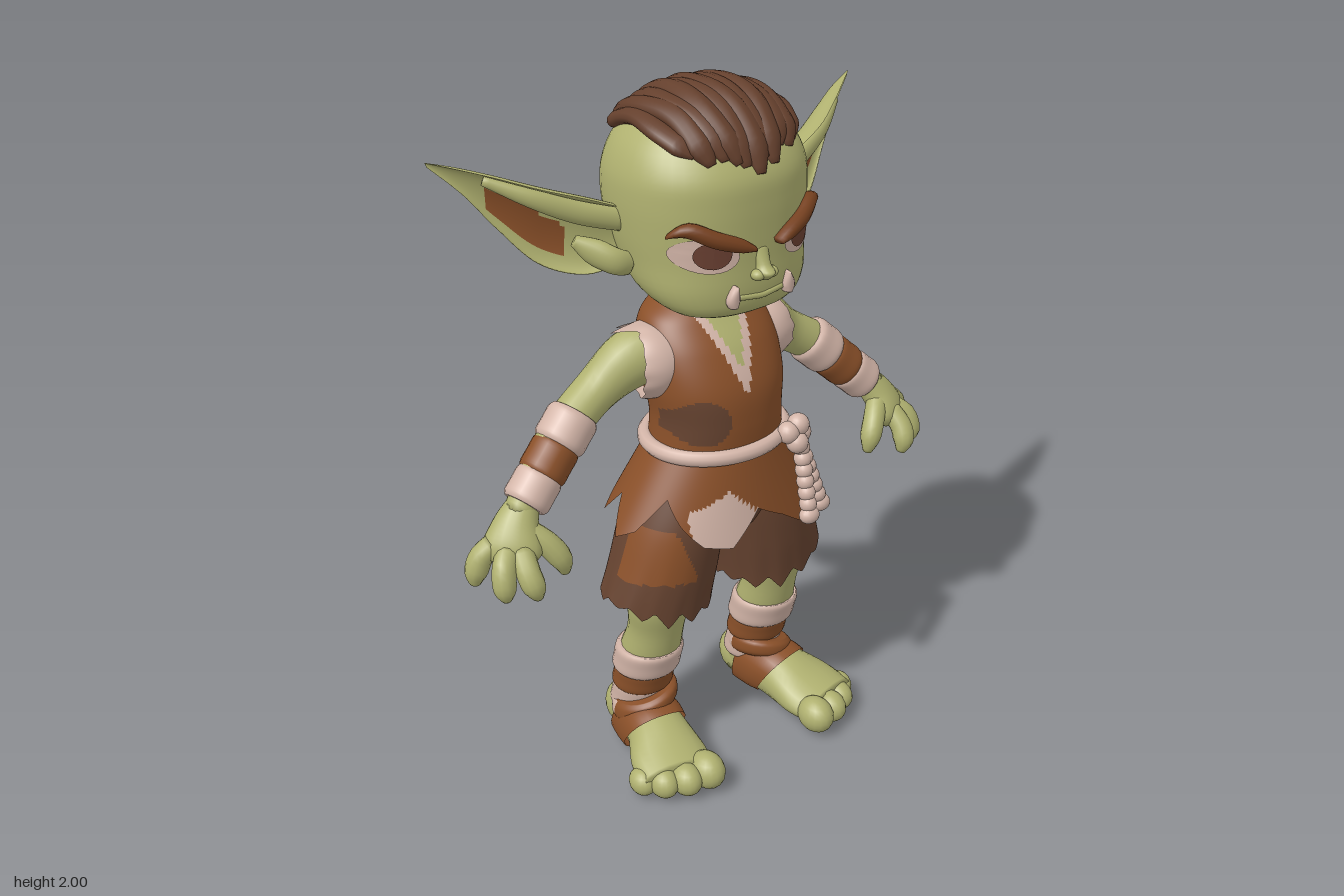
import * as THREE from 'three';

const V3 = (x, y, z) => new THREE.Vector3(x, y, z);
const mat = (name, color, side = THREE.FrontSide) => Object.assign(new THREE.MeshStandardMaterial({ color, side }), { name });
const skin = mat('skin', 0xb0b170);
const leather = mat('leather brown', 0x8a5029, THREE.DoubleSide);
const cloth = mat('dark cloth', 0x664330, THREE.DoubleSide);
const hairMat = mat('hair', 0x65402d);
const linen = mat('linen', 0xd3b5a8, THREE.DoubleSide);
const browMat = mat('brow', 0x75401f);
const iris = mat('iris', 0x6a4032);

// Smoothly resample rows of numbers
function smooth(rows, steps) {
  const last = rows.length - 1;
  return Array.from({ length: steps + 1 }, (_, i) => {
    const t = (i / steps) * last, k = Math.min(Math.floor(t), last - 1), f = t - k;
    const p = rows[Math.max(k - 1, 0)], a = rows[k], b = rows[k + 1], q = rows[Math.min(k + 2, last)];
    return a.map((v, c) => v + 0.5 * f * (b[c] - p[c] + f * (2 * p[c] - 5 * v + 4 * b[c] - q[c] + f * (3 * (v - b[c]) + q[c] - p[c]))));
  });
}

// Surface through closed rings; paint(centre, u, angle) picks the material slot
function surface(rings, { open = false, paint } = {}) {
  const m = rings[0].length, n = rings.length, pos = [], slots = [];
  rings.forEach(r => r.forEach(p => pos.push(p.x, p.y, p.z)));
  const put = (slot, ...ids) => (slots[slot] ??= []).push(...ids);
  for (let i = 0; i < n - 1; i++) for (let j = 0; j < m; j++) {
    const k = (j + 1) % m, a = i * m + j, b = a + m, c = i * m + k, d = c + m;
    const mid = rings[i][j].clone().add(rings[i + 1][k]).multiplyScalar(0.5);
    put(paint ? paint(mid, (i + 0.5) / (n - 1), ((j + 0.5) / m) * Math.PI * 2) : 0, a, b, c, c, b, d);
  }
  if (!open) [0, n - 1].forEach(i => {
    const centre = rings[i].reduce((s, p) => s.add(p), V3(0, 0, 0)).divideScalar(m), id = pos.length / 3;
    pos.push(centre.x, centre.y, centre.z);
    for (let j = 0; j < m; j++) {
      const a = i * m + j, b = i * m + (j + 1) % m;
      i ? put(0, id, b, a) : put(0, id, a, b);
    }
  });
  const g = new THREE.BufferGeometry(), index = [];
  g.setAttribute('position', new THREE.Float32BufferAttribute(pos, 3));
  slots.forEach((s, i) => { g.addGroup(index.length, s.length, i); for (const v of s) index.push(v); });
  if (!paint) g.clearGroups();
  g.setIndex(index);
  g.computeVertexNormals();
  return g;
}

// Loft of rows [x, y, z, halfWidth, halfDepth]; flat keeps the rings horizontal
function loft(rows, { sides = 20, steps = 16, flat = false, up = [1, 0, 0], power = 2, warp, ...rest } = {}) {
  const r = smooth(rows, steps), e = v => Math.sign(v) * Math.abs(v) ** (2 / power);
  return surface(r.map((row, i) => {
    const a = r[Math.max(i - 1, 0)], b = r[Math.min(i + 1, steps)];
    const T = flat ? V3(0, Math.sign(b[1] - a[1]), 0) : V3(b[0] - a[0], b[1] - a[1], b[2] - a[2]).normalize();
    const U = V3(...up).addScaledVector(T, -V3(...up).dot(T)).normalize(), W = U.clone().cross(T);
    return Array.from({ length: sides }, (_, j) => {
      const th = (j / sides) * Math.PI * 2;
      const p = V3(row[0], row[1], row[2]).addScaledVector(U, row[3] * e(Math.cos(th))).addScaledVector(W, row[4] * e(Math.sin(th)));
      if (warp) warp(p, i / steps, th);
      return p;
    });
  }), rest);
}

const ball = (x, y, z, a, b = a, c = a) => new THREE.SphereGeometry(1, 18, 12).scale(a, b, c).translate(x, y, z);
const tooth = (th, k) => Math.abs((((th * k) / (Math.PI * 2)) % 1) * 2 - 1) * (0.65 + 0.35 * Math.sin(th * 3 + 1));
const digit = (pts, r) => loft(pts.map((p, i) => [...p, r * [1, 1.05, 1, 0.45][i], r * [1, 1.05, 1, 0.45][i]]), { sides: 12, steps: 10, up: [1, 0, 0.3] });

export function createModel() {
  const root = new THREE.Group();
  root.name = 'goblin';
  const left = new THREE.Group();
  left.name = 'leftParts';
  const add = (parent, name, geo, m) => {
    const mesh = new THREE.Mesh(geo, m);
    mesh.name = name;
    parent.add(mesh);
    return mesh;
  };

  // Head and neck
  const head = add(root, 'head', loft([
    [0, 1.418, 0.07, 0.1, 0.06], [0, 1.445, 0.065, 0.185, 0.12], [0, 1.5, 0.02, 0.235, 0.18], [0, 1.58, -0.02, 0.252, 0.22],
    [0, 1.65, -0.037, 0.262, 0.238], [0, 1.73, -0.045, 0.267, 0.246], [0, 1.8, -0.045, 0.26, 0.238], [0, 1.87, -0.05, 0.228, 0.2],
    [0, 1.93, -0.05, 0.165, 0.145], [0, 1.962, -0.05, 0.09, 0.08], [0, 1.972, -0.05, 0.02, 0.02]],
    { flat: true, sides: 48, steps: 44, power: 2.25 }), skin);
  add(root, 'neck', loft([[0, 1.2, -0.05, 0.09, 0.08], [0, 1.36, -0.07, 0.075, 0.075], [0, 1.52, -0.06, 0.075, 0.075]], { flat: true }), skin);

  const ray = new THREE.Raycaster();
  const hit = (from, dir) => (ray.set(from, dir), ray.intersectObject(head)[0]?.point);
  const faceZ = (x, y) => hit(V3(x, y, 2), V3(0, 0, -1))?.z ?? 0.1;
  // Thin disc that follows the face
  const decal = (cx, cy, a, b, tilt, off) => {
    const g = new THREE.RingGeometry(0.001, 1, 28, 4).scale(a, b, 1).rotateZ(tilt).translate(cx, cy, 0), p = g.attributes.position;
    for (let i = 0; i < p.count; i++) p.setZ(i, faceZ(p.getX(i), p.getY(i)) + off);
    g.computeVertexNormals();
    return g;
  };

  // Face
  add(left, 'eye', decal(0.15, 1.617, 0.078, 0.046, 0.15, 0.005), linen);
  add(left, 'iris', decal(0.14, 1.62, 0.045, 0.037, 0, 0.009), iris);
  add(left, 'eyebrow', loft([[0.04, 1.628, 0.008], [0.08, 1.642, 0.019], [0.14, 1.664, 0.022], [0.195, 1.69, 0.019], [0.228, 1.672, 0.005]]
    .map(([x, y, r]) => [x, y, faceZ(x, y) + 0.012, r, 0.022]), { sides: 12, up: [0, 1, 0] }), browMat);
  add(left, 'tusk', loft([[0.088, 1.475, 0.014], [0.09, 1.492, 0.02], [0.088, 1.512, 0.014], [0.085, 1.532, 0.003]]
    .map(([x, y, r]) => [x, y, faceZ(x, y) + 0.006, r, 0.016]), { sides: 12 }), linen);
  add(left, 'nostril', ball(0.022, 1.55, 0.208, 0.018, 0.015, 0.02), skin);
  add(root, 'nose', loft([[0, 1.535, 0.2, 0.012, 0.022], [0, 1.555, 0.208, 0.024, 0.034], [0, 1.575, 0.2, 0.02, 0.022], [0, 1.62, 0.185, 0.025, 0.015]], { flat: true }), skin);
  add(root, 'lip', loft([-0.07, -0.035, 0, 0.035, 0.07].map(x => [x, 1.487 + Math.abs(x) * 0.1, faceZ(x, 1.49), 0.008, 0.006]), { sides: 10, up: [0, 1, 0] }), skin);

  // Ears: cupped leaf between an upper and a lower edge, then the bulge at the back
  const earRows = smooth([
    [0.22, 1.69, -0.05, 0.22, 1.56, -0.06, 0.085], [0.34, 1.74, -0.065, 0.34, 1.535, -0.085, 0.09],
    [0.45, 1.778, -0.1, 0.45, 1.572, -0.14, 0.08], [0.55, 1.814, -0.16, 0.535, 1.67, -0.19, 0.055],
    [0.62, 1.836, -0.21, 0.605, 1.765, -0.225, 0.032], [0.684, 1.854, -0.257, 0.68, 1.843, -0.257, 0.006]], 44);
  add(left, 'ear', surface(earRows.map(r => {
    const a = V3(r[0], r[1], r[2]), b = V3(r[3], r[4], r[5]), mid = a.clone().add(b).multiplyScalar(0.5);
    const half = a.sub(b).multiplyScalar(0.5), back = half.clone().cross(V3(0.85, 0.3, -0.4)).normalize();
    return Array.from({ length: 56 }, (_, j) => {
      const th = (j / 56) * Math.PI * 2, s = Math.sin(th);
      return mid.clone().addScaledVector(half, Math.cos(th)).addScaledVector(back, r[6] * (s > 0 ? s : -0.5 * s));
    });
  }), { paint: (p, u, th) => (Math.sin(th) < 0 && Math.cos(th) > -0.72 && p.x > 0.375 && p.x < 0.553 && p.y < 1.665 + 0.66 * (p.x - 0.38) ? 1 : 0) }), [skin, leather]);
  // Folds inside the ear
  add(left, 'earFold', loft([[0.25, 1.56, -0.03, 0.03, 0.02], [0.29, 1.575, -0.035, 0.035, 0.025], [0.33, 1.6, -0.07, 0.035, 0.025], [0.37, 1.63, -0.1, 0.015, 0.015]], { up: [0, 1, 0] }), skin);
  add(left, 'earRidge', loft([[0.25, 1.67, -0.06, 0.03, 0.02], [0.36, 1.705, -0.09, 0.03, 0.022], [0.47, 1.755, -0.125, 0.024, 0.018], [0.57, 1.805, -0.185, 0.012, 0.01]], { up: [0, 1, 0] }), skin);

  // Hair: locks combed from front to back over the skull, uneven at the ends
  for (let k = -5; k <= 5; k++) {
    const odd = k & 1, from = 20 + Math.abs(k) * 3 + odd * 4 + 2 * Math.sin(k * 2.3), to = 162 - Math.abs(k) * 4 - odd * 5, rows = [];
    for (let i = 0; i <= 10; i++) {
      const phi = THREE.MathUtils.degToRad(from + ((to - from) * i) / 10), dir = V3(0, Math.sin(phi), Math.cos(phi));
      const x = k * 0.037 * (1 - 0.3 * Math.cos(phi) ** 2) + 0.006 * Math.sin(i * 0.9 + k * 2);
      const p = hit(V3(x, 1.72, -0.045).addScaledVector(dir, 1), dir.clone().negate());
      const taper = i === 0 ? 0.35 : i === 10 ? 0.2 : 1;
      if (p) rows.push([p.x, p.y, p.z, 0.036 * taper, (0.028 - 0.005 * odd) * taper]);
    }
    add(root, 'hairLock', loft(rows, { sides: 12, steps: 30 }), hairMat);
  }

  // Tunic with open collar and a round patch
  add(root, 'tunic', loft([
    [0, 0.98, 0, 0.196, 0.16], [0, 1.1, 0.005, 0.187, 0.162], [0, 1.2, -0.012, 0.2, 0.17], [0, 1.3, -0.042, 0.2, 0.155],
    [0, 1.37, -0.065, 0.175, 0.125], [0, 1.41, -0.075, 0.125, 0.1], [0, 1.435, -0.08, 0.085, 0.08]],
    { flat: true, sides: 144, steps: 90, power: 2.2, paint: p => {
      const v = Math.abs(p.x + 0.01) - (p.y - 1.25) * 0.38;
      if (p.z > -0.05 && p.y > 1.19 && v < 0.026) return v < 0 ? 1 : 2;
      return p.z > 0 && Math.hypot(p.x + 0.13, p.y - 1.12) < 0.066 ? 3 : 0;
    } }), [leather, skin, linen, cloth]);

  // Torn skirt of the tunic
  const hem = [0.8, 0.89, 0.8, 0.88, 0.73, 0.8, 0.85, 0.76, 0.78, 0.84, 0.91, 0.82, 0.79, 0.88, 0.8, 0.87, 0.74, 0.85, 0.81, 0.87, 0.74, 0.86, 0.78, 0.88];
  add(root, 'skirt', surface(Array.from({ length: 25 }, (_, i) => Array.from({ length: 144 }, (_, j) => {
    const th = (j / 144) * Math.PI * 2, k = Math.floor(j / 6), f = (j % 6) / 6;
    const d = (1.02 - (hem[k] * (1 - f) + hem[(k + 1) % 24] * f)) * (1 - i / 24), s = Math.sin(th);
    return V3(Math.cos(th) * (0.2 + 0.62 * d), 1.02 - d, s * (s > 0 ? 0.168 + 0.18 * d : 0.162 + 0.44 * d));
  })), { open: true, paint: p => {
    const x = p.x + 0.085;
    if (p.z > 0) return p.x > -0.2 && p.x < 0.03 && p.y < 0.92 - 0.9 * Math.max(0, x) + 0.4 * Math.min(0, x) ? 1 : 0;
    return Math.abs(p.x - 0.03) < 0.06 && p.y < 0.88 - Math.abs(p.x - 0.03) ? 1 : 0;
  } }), [leather, linen]);

  // Shorts
  add(root, 'shortsSeat', loft([[0, 0.7, -0.01, 0.06, 0.08], [0, 0.75, -0.005, 0.16, 0.125], [0, 0.86, 0, 0.245, 0.155], [0, 1, 0, 0.19, 0.15]], { flat: true, sides: 36 }), cloth);
  for (const s of [1, -1]) add(root, 'shortsLeg', loft([
    [s * 0.12, 0.92, 0, 0.115, 0.145], [s * 0.148, 0.8, 0, 0.143, 0.157], [s * 0.178, 0.68, -0.003, 0.155, 0.155], [s * 0.203, 0.59, -0.01, 0.162, 0.15]],
    { flat: true, sides: 120, steps: 32, open: true,
      warp: (p, t, th) => { p.y -= t ** 3 * (0.05 * tooth(th, 13) + 0.035 - 0.22 * (Math.abs(p.x) - 0.2)); },
      paint: p => (p.z > 0 && p.y > 0.66 && p.y < 0.82 && p.x < -0.22 - (p.y - 0.8) * 0.35 ? 1 : 0) }), [cloth, leather]);

  // Rope belt with knot and hanging beaded cords
  const ring = Array.from({ length: 24 }, (_, i) => V3(0.203 * Math.cos(i * Math.PI / 12), 1.02, 0.172 * Math.sin(i * Math.PI / 12)));
  add(root, 'ropeBelt', new THREE.TubeGeometry(new THREE.CatmullRomCurve3(ring, true), 72, 0.022, 10, true), linen);
  [[0.13, 1.03, 0.165], [0.165, 1.045, 0.165], [0.185, 1.01, 0.15], [0.15, 1, 0.18]].forEach(p => add(root, 'ropeKnot', ball(...p, 0.032), linen));
  [[0.155, 0.79, 0.235], [0.225, 0.79, 0.2]].forEach(([x, y, z]) => {
    for (let i = 0; i <= 6; i++) {
      const t = i / 6;
      add(root, 'ropeBead', ball(0.165 + (x - 0.165) * t, 0.98 + (y - 0.98) * t, 0.18 + (z - 0.18) * t, i === 6 ? 0.031 : 0.025, 0.026, 0.026), linen);
    }
  });

  // Arm, torn sleeve and forearm wraps
  add(left, 'arm', loft([[0.13, 1.28, -0.06, 0.08, 0.078], [0.22, 1.265, -0.08, 0.082, 0.075], [0.32, 1.2, -0.095, 0.062, 0.062],
    [0.43, 1.13, -0.08, 0.06, 0.06], [0.53, 1.04, -0.055, 0.06, 0.055], [0.62, 0.95, -0.03, 0.046, 0.043]], { up: [0, 1, 0], steps: 24 }), skin);
  add(left, 'sleeve', loft([[0.14, 1.265, -0.05, 0.095, 0.105], [0.18, 1.262, -0.055, 0.105, 0.112], [0.205, 1.262, -0.065, 0.102, 0.108]],
    { up: [0, 1, 0], sides: 72, open: true,
      warp: (p, t, th) => { p.x += t ** 2 * (0.012 * tooth(th, 13) + 0.085 * tooth(th, 9) * THREE.MathUtils.smoothstep(0.5 * (p.y - 1.26) - 0.6 * (p.z + 0.06), 0, 0.06)); } }), linen);
  const path = t => [0.4 + 0.2 * t, 1.155 - 0.185 * t, -0.085 + 0.05 * t];
  [[0, 0.36, 0.072, linen], [0.33, 0.7, 0.066, leather], [0.66, 1, 0.065, linen]].forEach(([a, b, r, m]) =>
    add(left, 'forearmWrap', loft([0, 0.15, 0.5, 0.85, 1].map((t, i) => [...path(a + (b - a) * t), r - (i % 4 ? 0 : 0.008), r - (i % 4 ? 0 : 0.008)]), { up: [0, 1, 0] }), m));

  // Hand
  add(left, 'palm', loft([[0.6, 0.975, -0.035, 0.043, 0.04], [0.635, 0.93, -0.02, 0.062, 0.046], [0.662, 0.88, 0, 0.08, 0.046], [0.676, 0.845, 0.01, 0.06, 0.034]],
    { up: [0.8, 0, -0.6] }), skin);
  [[[0.7, 0.89, -0.03], [0.733, 0.86, -0.04], [0.75, 0.815, -0.045], [0.755, 0.78, -0.045]],
    [[0.68, 0.88, 0.01], [0.71, 0.85, 0.035], [0.72, 0.8, 0.05], [0.716, 0.765, 0.05]],
    [[0.65, 0.88, 0.03], [0.66, 0.84, 0.07], [0.655, 0.8, 0.09], [0.645, 0.765, 0.09]],
    [[0.62, 0.92, 0], [0.58, 0.88, 0.035], [0.55, 0.83, 0.055], [0.54, 0.785, 0.055]]].forEach(p => add(left, 'finger', digit(p, 0.031), skin));

  // Leg and shin wraps
  add(left, 'leg', loft([[0.18, 0.74, 0, 0.12, 0.12], [0.21, 0.56, 0.018, 0.1, 0.088], [0.212, 0.45, 0, 0.084, 0.08],
    [0.215, 0.34, -0.035, 0.09, 0.09], [0.218, 0.22, -0.075, 0.078, 0.082], [0.22, 0.06, -0.1, 0.075, 0.08]], { flat: true, steps: 24 }), skin);
  [[0.375, 0.28, 0.1, linen], [0.295, 0.205, 0.09, leather], [0.225, 0.12, 0.084, linen]].forEach(([a, b, r, m]) =>
    add(left, 'shinWrap', loft([0, 0.15, 0.5, 0.85, 1].map((t, i) => {
      const y = a + (b - a) * t, q = r - (i % 4 ? 0 : 0.008);
      return [0.217, y, -0.035 - (0.34 - y) * 0.3, q, q];
    }), { flat: true, sides: 28 }), m));

  // Foot, toes and sandal
  add(left, 'foot', loft([[0.22, 0.06, -0.195, 0.035, 0.035], [0.22, 0.078, -0.165, 0.068, 0.07], [0.222, 0.092, -0.08, 0.078, 0.088],
    [0.24, 0.088, 0.03, 0.09, 0.083], [0.268, 0.068, 0.13, 0.115, 0.063], [0.285, 0.055, 0.205, 0.11, 0.047]], { steps: 24 }), skin);
  [[0.208, 0.235, 0.05], [0.276, 0.225, 0.044], [0.334, 0.195, 0.041], [0.376, 0.15, 0.037]].forEach(([x, z, r]) =>
    add(left, 'toe', ball(x, r * 1.1 + 0.006, z, r, r * 1.1, r * 1.25), skin));
  add(left, 'sandalBand', loft([[0.222, 0.09, -0.1, 0.08, 0.087], [0.224, 0.092, -0.085, 0.088, 0.094], [0.234, 0.092, -0.02, 0.095, 0.094], [0.242, 0.088, 0.025, 0.094, 0.086]],
    { sides: 28, power: 2.3, open: true, warp: p => { p.y = Math.max(p.y, 0); p.z += (p.y - 0.09) * 0.5; } }), leather);
  add(left, 'ankleStrap', loft([[0.222, 0.14, -0.055, 0.085, 0.085], [0.222, 0.155, -0.055, 0.096, 0.104], [0.222, 0.185, -0.055, 0.094, 0.102], [0.222, 0.2, -0.055, 0.082, 0.085]],
    { flat: true, sides: 28, warp: p => { p.y -= 0.3 * (p.x - 0.2) - 0.2 * (p.z + 0.05); }, paint: p => (p.z < -0.085 ? 1 : 0) }), [leather, linen]);

  // Mirror the left parts to the right
  const right = new THREE.Group();
  right.name = 'rightParts';
  left.children.forEach(mesh => {
    const g = mesh.geometry.clone().scale(-1, 1, 1), ix = g.index.array;
    for (let i = 0; i < ix.length; i += 3) [ix[i], ix[i + 1]] = [ix[i + 1], ix[i]];
    add(right, mesh.name, g, mesh.material);
  });
  root.add(left, right);
  return root;
}
